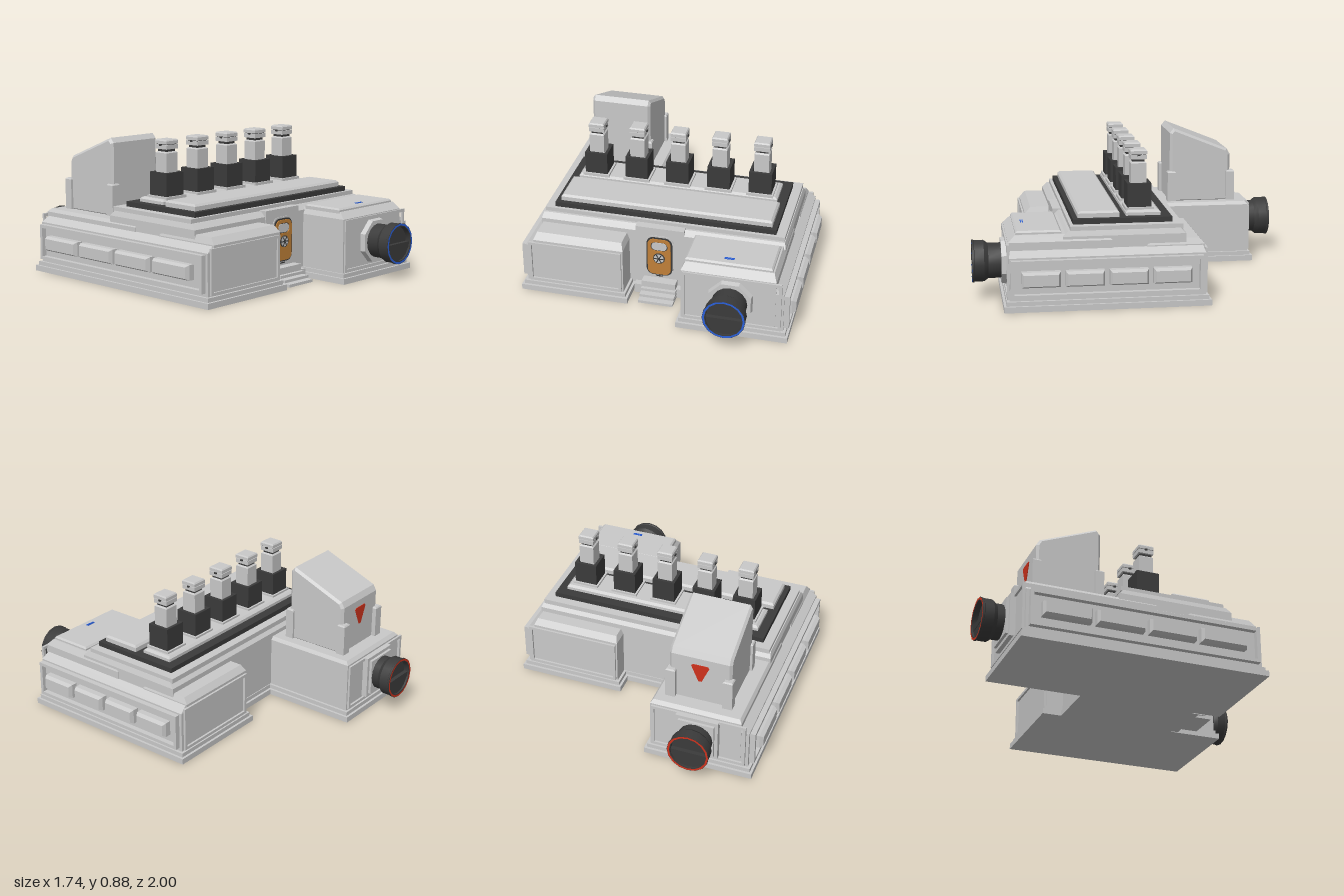
import * as THREE from 'three';
import { toCreasedNormals } from 'three/addons/utils/BufferGeometryUtils.js';
import { ConvexGeometry } from 'three/addons/geometries/ConvexGeometry.js';

const material = (name, color) => {
  const m = new THREE.MeshStandardMaterial({ color });
  m.name = name;
  return m;
};

export function createModel() {
  const root = new THREE.Group();
  root.name = 'machineryBuilding';
  const grey = material('light grey', 0xc9c9c9);
  const dark = material('charcoal', 0x3b3b3b);
  const orange = material('orange', 0xc08038);
  const blue = material('blue', 0x2a5fd8);
  const red = material('red', 0xcf321c);

  const add = (name, geo, mat = grey, parent = root) => {
    const mesh = new THREE.Mesh(geo, mat);
    mesh.name = name;
    parent.add(mesh);
    return mesh;
  };

  // Box given by its limits, with an optional bevel of dx, dy, dz around the top
  const block = (name, [x0, x1], [y0, y1], [z0, z1], mat = grey, [dx, dy, dz] = [0, 0, 0], parent = root) => {
    if (!dy) {
      const g = new THREE.BoxGeometry(x1 - x0, y1 - y0, z1 - z0);
      return add(name, g.translate((x0 + x1) / 2, (y0 + y1) / 2, (z0 + z1) / 2), mat, parent);
    }
    const pts = [];
    for (const [y, ix, iz] of [[y0, 0, 0], [y1 - dy, 0, 0], [y1, dx, dz]])
      for (const x of [x0 + ix, x1 - ix])
        for (const z of [z0 + iz, z1 - iz]) pts.push(new THREE.Vector3(x, y, z));
    return add(name, new ConvexGeometry(pts), mat, parent);
  };

  // Stepped floor plan, shrunk by i on every side
  const plan = (i) => new THREE.Shape([
    [-0.84 + i, -0.84 + i], [-0.17 - i, -0.84 + i], [-0.17 - i, -0.25 + i], [0.17 + i, -0.25 + i],
    [0.17 + i, -0.37 + i], [0.84 - i, -0.37 + i], [0.84 - i, 0.83 - i], [0.17 + i, 0.83 - i],
    [0.17 + i, 0.49 - i], [-0.17 - i, 0.49 - i], [-0.17 - i, 0.67 - i], [-0.84 + i, 0.67 - i],
  ].map(([x, z]) => new THREE.Vector2(x, -z)));
  const slab = (name, i, y0, y1) => {
    const g = new THREE.ExtrudeGeometry(plan(i), { depth: y1 - y0, bevelEnabled: false });
    add(name, g.rotateX(-Math.PI / 2).translate(0, y0, 0));
  };
  slab('foundation', 0, 0, 0.035);
  slab('foundationStep', 0.015, 0.035, 0.06);
  slab('lowerBody', 0.032, 0.06, 0.31);

  // Upper volumes
  block('mainHall', [-0.755, 0.755], [0.06, 0.445], [-0.23, 0.485], grey, [0.01, 0.03, 0.03]);
  block('mainRoof', [-0.74, 0.74], [0.44, 0.47], [-0.215, 0.44]);
  block('frontLeftWing', [0.195, 0.76], [0.06, 0.43], [0.2, 0.8], grey, [0.02, 0.04, 0.04]);
  block('frontLeftRoof', [0.21, 0.73], [0.42, 0.45], [0.49, 0.755], grey, [0.01, 0.01, 0.01]);
  block('frontRightWing', [-0.76, -0.2], [0.06, 0.39], [0.2, 0.64], grey, [0.015, 0.04, 0.035]);
  block('backRightWing', [-0.76, -0.2], [0.06, 0.39], [-0.81, 0], grey, [0.015, 0.02, 0.02]);
  block('backLeftWing', [0.2, 0.76], [0.06, 0.385], [-0.338, 0], grey, [0.015, 0.035, 0.03]);
  for (const [s, z0, z1] of [[1, -0.338, 0.798], [-1, -0.808, 0.638]])
    block('sideShoulder', s > 0 ? [0.7, 0.808] : [-0.808, -0.7], [0.25, 0.345], [z0, z1], grey, [0.05, 0.035, 0.01]);

  // Rectangular frame facing +z, centred on its own origin
  const frameGeo = (w, h, b, depth) => {
    const rect = (a, c) => [[-a, -c], [a, -c], [a, c], [-a, c]].map(([x, y]) => new THREE.Vector2(x, y));
    const s = new THREE.Shape(rect(w / 2, h / 2));
    s.holes.push(new THREE.Path(rect(w / 2 - b, h / 2 - b)));
    return new THREE.ExtrudeGeometry(s, { depth, bevelEnabled: false });
  };

  // Side frames with a row of four tapered bars
  const side = (s, z0, z1, b0, b1) => {
    const g = new THREE.Group();
    g.name = s > 0 ? 'leftSide' : 'rightSide';
    root.add(g);
    const turn = s * Math.PI / 2;
    add('sideFrame', frameGeo(z1 - z0, 0.22, 0.02, 0.034).rotateY(turn)
      .translate(s * 0.806, 0.19, (z0 + z1) / 2), grey, g);
    const pitch = (b1 - b0 + 0.03) / 4;
    for (let k = 0; k < 4; k++) {
      const c = b0 + pitch * k + (pitch - 0.03) / 2, h = (pitch - 0.03) / 2, pts = [];
      for (const [x, i] of [[0.8, 0], [0.845, 0], [0.868, 0.012]])
        for (const y of [0.145 + i, 0.235 - i])
          for (const z of [c - h + i, c + h - i]) pts.push(new THREE.Vector3(s * x, y, z));
      add('sideBar', new ConvexGeometry(pts), grey, g);
    }
  };
  side(1, -0.32, 0.79, -0.25, 0.73);
  side(-1, -0.79, 0.62, -0.72, 0.53);

  // Framed end panels
  const panel = (name, x, w, y, h, z, s) => {
    add(name, frameGeo(w, h, 0.018, 0.015).rotateY(s > 0 ? 0 : Math.PI).translate(x, y, z));
  };
  panel('frontLeftPanel', 0.5, 0.59, 0.225, 0.32, 0.795, 1);
  panel('frontRightPanel', -0.5, 0.58, 0.2, 0.27, 0.636, 1);
  panel('backRightPanel', -0.5, 0.58, 0.215, 0.29, -0.808, -1);
  panel('backLeftPanel', 0.5, 0.58, 0.2, 0.27, -0.336, -1);

  // Roof deck
  block('roofPlate', [-0.685, 0.685], [0.468, 0.5], [-0.16, 0.42], dark);
  block('frontRoofPanel', [-0.655, 0.655], [0.5, 0.538], [0.145, 0.39], grey, [0.012, 0.012, 0.012]);
  block('postRoofPanel', [-0.63, 0.63], [0.5, 0.53], [-0.1, 0.105], grey, [0.015, 0.012, 0.015]);

  // Five roof posts
  for (let k = -2; k <= 2; k++) {
    const g = new THREE.Group();
    g.name = 'roofPost';
    g.position.set(k * 0.26, 0, 0.02);
    root.add(g);
    const sq = (name, r, y0, y1, mat, bevel) => block(name, [-r, r], [y0, y1], [-r, r], mat, bevel, g);
    sq('postPlate', 0.083, 0.525, 0.542, grey);
    add('postSocket', frameGeo(0.142, 0.142, 0.018, 0.142).rotateX(-Math.PI / 2).translate(0, 0.54, 0), dark, g);
    sq('socketFloor', 0.056, 0.54, 0.655, dark);
    sq('postColumn', 0.046, 0.54, 0.805, grey, [0.008, 0.008, 0.008]);
    sq('postNeck', 0.036, 0.8, 0.822, dark);
    sq('postCapLower', 0.048, 0.82, 0.846, grey);
    sq('postCapGap', 0.042, 0.845, 0.852, dark);
    sq('postCapUpper', 0.049, 0.85, 0.877, grey, [0.006, 0.008, 0.006]);
    block('postPin', [-0.055, 0.055], [0.84, 0.85], [-0.008, 0.008], dark, undefined, g);
  }

  // Sloped hood with four corner posts
  const hoodShape = new THREE.Shape([
    [0.31, 0.38], [0.31, 0.835], [0.335, 0.865], [0.685, 0.725], [0.705, 0.69], [0.705, 0.38],
  ].map(([z, y]) => new THREE.Vector2(z, y)));
  const hood = new THREE.ExtrudeGeometry(hoodShape, {
    depth: 0.35, bevelThickness: 0.015, bevelSize: 0.015, bevelOffset: -0.015, bevelSegments: 1,
  });
  add('hood', hood.rotateY(Math.PI / 2).translate(-0.645, 0, 0));
  for (const x of [-0.645, -0.295])
    for (const z of [-0.705, -0.32])
      block('hoodPost', [x - 0.03, x + 0.03], [0.38, 0.585], [z - 0.027, z + 0.027], grey, [0.006, 0.008, 0.006]);

  // Warning triangle on the back of the hood
  const tri = new THREE.Shape([
    [-0.055, 0.05], [-0.045, 0.06], [0.045, 0.06], [0.055, 0.05], [0.01, -0.055], [-0.01, -0.055],
  ].map(([x, y]) => new THREE.Vector2(x, y)));
  add('triangleSign', new THREE.ExtrudeGeometry(tri, { depth: 0.006, bevelEnabled: false })
    .rotateY(Math.PI).translate(-0.47, 0.585, -0.703), red);

  // Pipe sockets on the front and back
  const pipe = (name, x, turn, ringMat) => {
    const g = new THREE.Group();
    g.name = name;
    g.position.set(x, 0.228, 0);
    g.rotation.y = turn;
    root.add(g);
    const profile = [[0.105, 0.8], [0.105, 0.905], [0.123, 0.93], [0.123, 0.985], [0.127, 0.988],
      [0.127, 0.999], [0.108, 0.999], [0.108, 0.965], [0, 0.965]].map(([r, y]) => new THREE.Vector2(r, y));
    add('pipeBody', toCreasedNormals(new THREE.LatheGeometry(profile, 16), 0.5).rotateX(Math.PI / 2), dark, g);
    add('pipeRing', new THREE.RingGeometry(0.113, 0.125, 16).translate(0, 0, 1), ringMat, g);
    add('pipeShelf', new THREE.CylinderGeometry(0.109, 0.109, 0.025, 12, 1, false, -Math.PI / 2, Math.PI)
      .rotateX(Math.PI / 2).translate(0, 0, 0.975), dark, g);
    block('pipeBar', [-0.107, 0.107], [-0.035, 0], [0.96, 0.99], dark, undefined, g);
  };
  pipe('frontPipe', 0.495, 0, blue);
  pipe('backPipe', -0.5, Math.PI, red);
  add('frontCollar', toCreasedNormals(new THREE.CylinderGeometry(0.135, 0.145, 0.045, 8).rotateY(Math.PI / 8), 0.3)
    .rotateX(Math.PI / 2).translate(0.495, 0.228, 0.808));
  block('backCollar', [-0.63, -0.37], [0.095, 0.36], [-0.845, -0.8]);
  block('backCollarInner', [-0.61, -0.39], [0.115, 0.34], [-0.862, -0.84]);
  for (const z of [0.698, 0.709]) block('roofMark', [0.435, 0.495], [0.448, 0.453], [z - 0.003, z + 0.003], blue);

  // Entrance: wall panel, door and steps
  const rounded = (w, h, r, Type = THREE.Shape, cy = 0) => {
    const s = new Type();
    [[1, 1, 0], [-1, 1, 1], [-1, -1, 2], [1, -1, 3]].forEach(([sx, sy, q]) =>
      s.absarc(sx * (w / 2 - r), cy + sy * (h / 2 - r), r, q * Math.PI / 2, (q + 1) * Math.PI / 2, false));
    return s;
  };
  const plate = (name, shape, z, mat, y = 0.258, depth = 0.008) => add(name,
    new THREE.ExtrudeGeometry(shape, { depth, bevelEnabled: false, curveSegments: 5 }).translate(-0.01, y, z), mat);
  block('entranceWall', [-0.16, 0.14], [0.06, 0.45], [0.4, 0.492]);
  plate('doorSurround', rounded(0.175, 0.285, 0.05), 0.488, grey);
  plate('doorEdge', rounded(0.16, 0.265, 0.045), 0.493, dark);
  const door = rounded(0.143, 0.248, 0.038);
  door.holes.push(rounded(0.104, 0.062, 0.028, THREE.Path, 0.073));
  plate('door', door, 0.499, orange);
  plate('doorWindow', rounded(0.094, 0.052, 0.024), 0.497, grey, 0.331);
  const disc = (name, r, z, mat) => add(name,
    new THREE.CylinderGeometry(r, r, 0.006, 16).rotateX(Math.PI / 2).translate(-0.01, 0.25, z), mat);
  disc('doorWheel', 0.036, 0.509, dark);
  disc('doorWheelFace', 0.031, 0.511, grey);
  for (let k = 0; k < 3; k++)
    add('doorWheelSpoke', new THREE.BoxGeometry(0.06, 0.006, 0.004).rotateZ(k * Math.PI / 3)
      .translate(-0.01, 0.25, 0.514), dark);
  block('doorSlot', [-0.03, 0.01], [0.112, 0.12], [0.49, 0.497], dark);
  block('entranceSill', [-0.16, 0.16], [0, 0.06], [0.44, 0.535]);
  block('upperStep', [-0.11, 0.1], [0.06, 0.1], [0.48, 0.55]);
  for (let k = 0; k < 3; k++)
    block('lowerStep', [-0.11, 0.105], [k * 0.021, k * 0.021 + 0.017], [0.5, 0.64 - k * 0.035]);
  return root;
}
